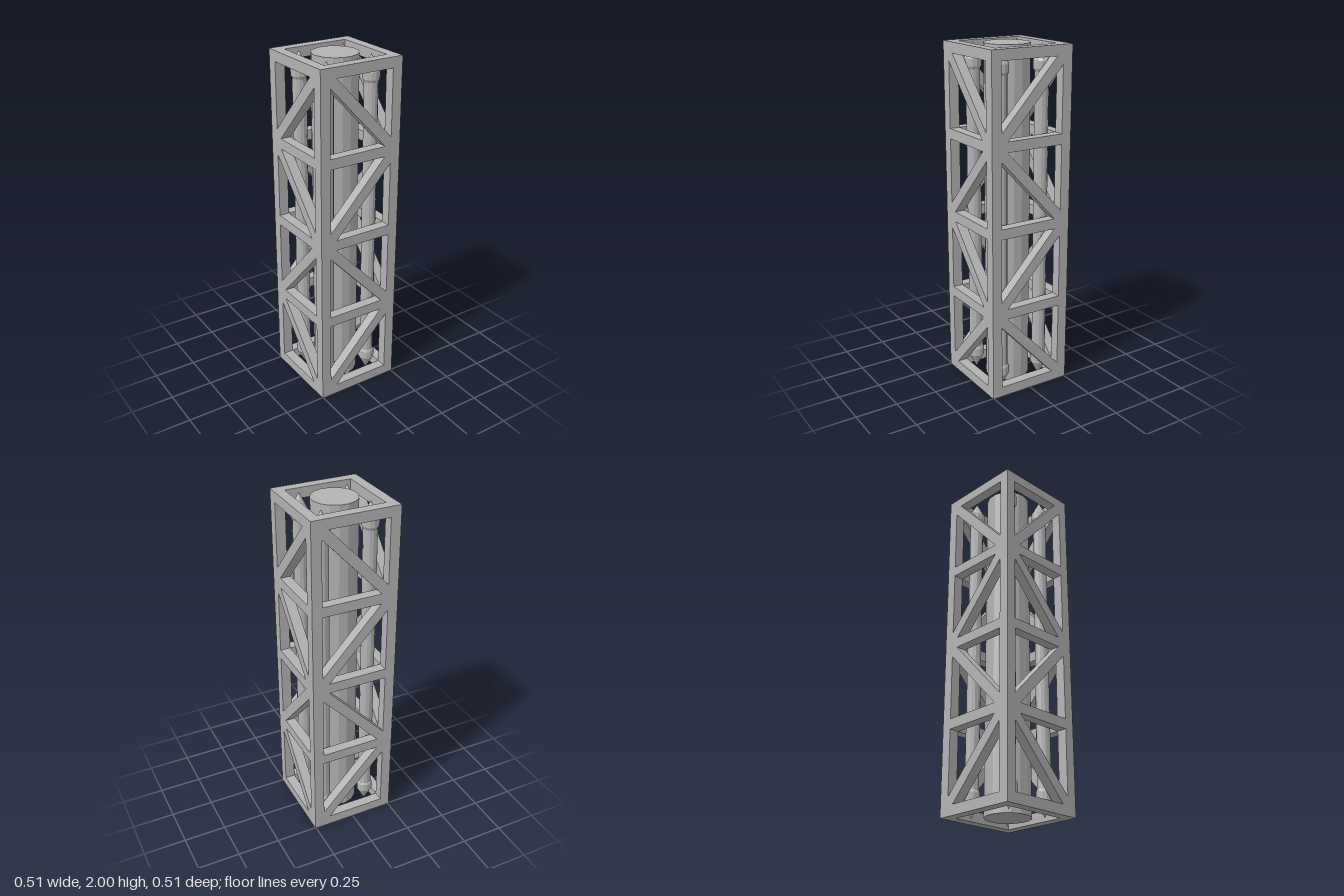
import * as THREE from 'three';

const HALF = 0.255;   // half width of the tower
const BEAM = 0.06;    // square beam size
const BAYS = 4;

const grey = new THREE.MeshStandardMaterial({ color: 0xb3b3b3 });
grey.name = 'grey metal';

// Faceted normals
function faceted(geometry) {
  const g = geometry.toNonIndexed();
  g.computeVertexNormals();
  return g;
}

// One truss wall: a plate with two triangular openings per bay.
// side = 1 starts the top brace at the viewer's left, -1 mirrors it.
function trussGeometry(side) {
  const shape = new THREE.Shape([
    new THREE.Vector2(-HALF, 0), new THREE.Vector2(HALF, 0),
    new THREE.Vector2(HALF, 2), new THREE.Vector2(-HALF, 2),
  ]);
  const h = BEAM / 2;
  const node = HALF - h;                       // beam centre line
  const inner = HALF - BEAM;                   // inner edge of the posts
  const pitch = (2 - BEAM) / BAYS;
  const slope = pitch / (2 * node);
  const d = h * Math.sqrt(1 + slope * slope);  // vertical half width of a brace

  for (let i = 0; i < BAYS; i++) {
    const mid = 2 - h - (i + 0.5) * pitch;
    const flip = side * (i % 2 ? -1 : 1);
    const tri = [
      [inner, pitch / 2 - h],
      [-node + (h + d) / slope, pitch / 2 - h],
      [inner, pitch / 2 - slope * (inner + node) + d],
    ];
    for (const s of [1, -1]) {
      shape.holes.push(new THREE.Path(
        tri.map(([x, y]) => new THREE.Vector2(s * flip * x, mid + s * y))));
    }
  }
  const g = new THREE.ExtrudeGeometry(shape, { depth: BEAM, bevelEnabled: false });
  g.translate(0, 0, inner);
  return g;
}

export function createModel() {
  const model = new THREE.Group();
  model.name = 'trussTower';

  const add = (name, geometry) => {
    const mesh = new THREE.Mesh(geometry, grey);
    mesh.name = name;
    model.add(mesh);
    return mesh;
  };

  // Four truss walls; neighbours mirror each other
  const walls = [trussGeometry(1), trussGeometry(-1)];
  ['frontTruss', 'leftTruss', 'backTruss', 'rightTruss'].forEach((name, i) => {
    add(name, walls[i % 2]).rotation.y = i * Math.PI / 2;
  });

  // Central column
  const core = add('centralColumn', faceted(new THREE.CylinderGeometry(0.13, 0.13, 2, 16)));
  core.position.y = 1;
  core.rotation.y = THREE.MathUtils.degToRad(7.5);

  // Four corner rods with collars and pointed ends
  const half = [[0, 0], [0.048, 0.09], [0.048, 0.135], [0.04, 0.15]];
  const profile = [...half, ...half.map(([r, y]) => [r, 2 - y]).reverse()]
    .map(([r, y]) => new THREE.Vector2(r, y));
  const rod = faceted(new THREE.LatheGeometry(profile, 12));
  for (const x of [-1, 1]) {
    for (const z of [-1, 1]) {
      add('cornerRod', rod).position.set(x * 0.142, 0, z * 0.134);
    }
  }
  return model;
}
